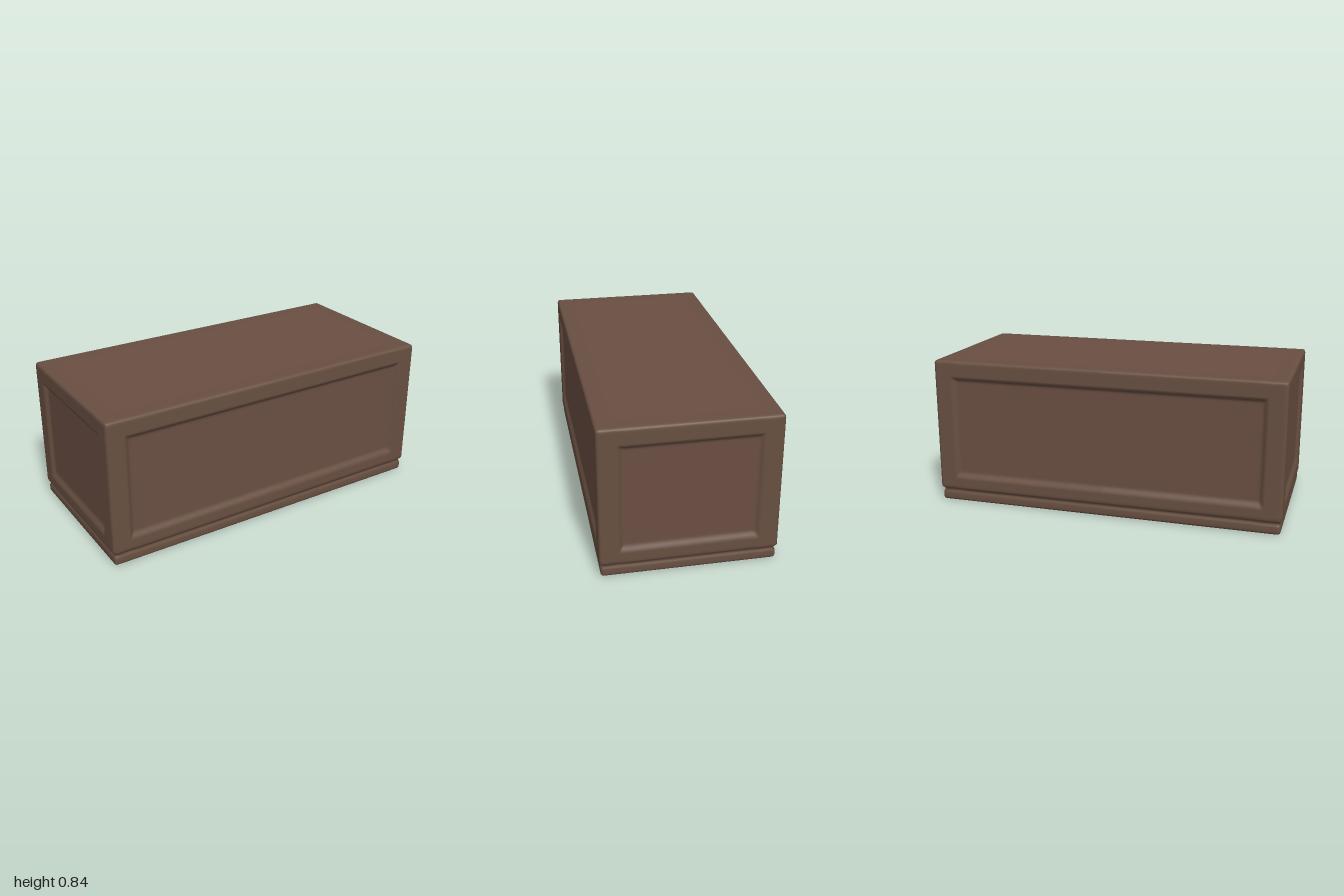
import * as THREE from 'three';
import { mergeVertices } from 'three/addons/utils/BufferGeometryUtils.js';

const HX = 1, HY = 0.42, HZ = 0.47, R = 0.018; // half sizes and edge radius

// Distances in from an edge where the surface bends: rounded edge, then panel slope
const EDGE = [0, 0.005, 0.011, R, 0.03];
const SLOPE = [0.095, 0.1, 0.108, 0.115, 0.122, 0.13, 0.14];
const BASE = [0.045, 0.052, 0.06, 0.068, 0.076, 0.085, 0.1,
  0.135, 0.14, 0.15, 0.16, 0.17, 0.18, 0.19];

function sideStops(half) {
  const low = [...EDGE, ...SLOPE].map((d) => d - half);
  return [...low, 0, ...low.map((v) => -v).reverse()];
}

const stopsX = sideStops(HX);
const stopsZ = sideStops(HZ);
const stopsY = [
  ...[...EDGE, ...BASE].map((d) => d - HY), 0,
  ...[...EDGE, ...SLOPE.map((d) => d - 0.01)].map((d) => HY - d).reverse(),
];

const smooth = (v) => THREE.MathUtils.smoothstep(v, 0, 1);

// 0 on the frame, 1 on the sunken panel; u runs along the wall, y is height
function panelAmount(u, half, y) {
  return smooth(Math.min((half - 0.1 - Math.abs(u)) / 0.03, (0.75 - y) / 0.03, (y - 0.14) / 0.04));
}

// How far the plinth and the groove above it are set in
function plinthInset(y) {
  const step = 0.007 * (1 - smooth((y - 0.06) / 0.025));
  const groove = 0.009 * Math.max(0, 1 - Math.abs(y - 0.064) / 0.018);
  return step + groove;
}

function chestGeometry() {
  const nx = stopsX.length - 1, ny = stopsY.length - 1, nz = stopsZ.length - 1;
  let geo = new THREE.BoxGeometry(nx, ny, nz, nx, ny, nz);
  geo.deleteAttribute('normal');
  geo.deleteAttribute('uv');
  geo = mergeVertices(geo, 1e-4);

  const pos = geo.attributes.position;
  const inner = new THREE.Vector3(HX - R, HY - R, HZ - R);
  const innerMin = inner.clone().negate();
  const p = new THREE.Vector3(), c = new THREE.Vector3();
  const isPanel = [];
  for (let i = 0; i < pos.count; i++) {
    p.set(
      stopsX[Math.round(pos.getX(i) + nx / 2)],
      stopsY[Math.round(pos.getY(i) + ny / 2)],
      stopsZ[Math.round(pos.getZ(i) + nz / 2)],
    );
    const onX = Math.abs(p.x) > HX - 1e-6, onZ = Math.abs(p.z) > HZ - 1e-6;
    const onTop = p.y > HY - 1e-6;
    // Round every edge
    c.copy(p).clamp(innerMin, inner);
    p.sub(c).setLength(R).add(c);
    p.y += HY;
    // Sink the panels of the four walls
    const ax = onX ? panelAmount(p.z, HZ, p.y) : 0;
    const az = onZ ? panelAmount(p.x, HX, p.y) : 0;
    p.x -= Math.sign(p.x) * 0.018 * ax;
    p.z -= Math.sign(p.z) * 0.018 * az;
    // Set in the plinth
    const inset = plinthInset(p.y);
    p.x *= 1 - inset / HX;
    p.z *= 1 - inset / HZ;
    pos.setXYZ(i, p.x, p.y, p.z);
    isPanel.push(Math.max(ax, az) > 0.9 ||
      (onTop && Math.abs(p.x) < HX - 0.09 && Math.abs(p.z) < HZ - 0.09));
  }
  geo.computeVertexNormals();

  // Sort the faces into frame and panel groups
  const frame = [], panel = [], idx = geo.index.array;
  for (let i = 0; i < idx.length; i += 3) {
    const tri = [idx[i], idx[i + 1], idx[i + 2]];
    (tri.every((v) => isPanel[v]) ? panel : frame).push(...tri);
  }
  geo.setIndex([...frame, ...panel]);
  geo.clearGroups();
  geo.addGroup(0, frame.length, 0);
  geo.addGroup(frame.length, panel.length, 1);
  return geo;
}

export function createModel() {
  const frameWood = new THREE.MeshStandardMaterial({ color: 0x684f41 });
  frameWood.name = 'frame wood';
  const panelWood = new THREE.MeshStandardMaterial({ color: 0x6a4e42 });
  panelWood.name = 'panel wood';

  const model = new THREE.Group();
  model.name = 'panelledChest';
  const chest = new THREE.Mesh(chestGeometry(), [frameWood, panelWood]);
  chest.name = 'chestBody';
  model.add(chest);
  return model;
}
